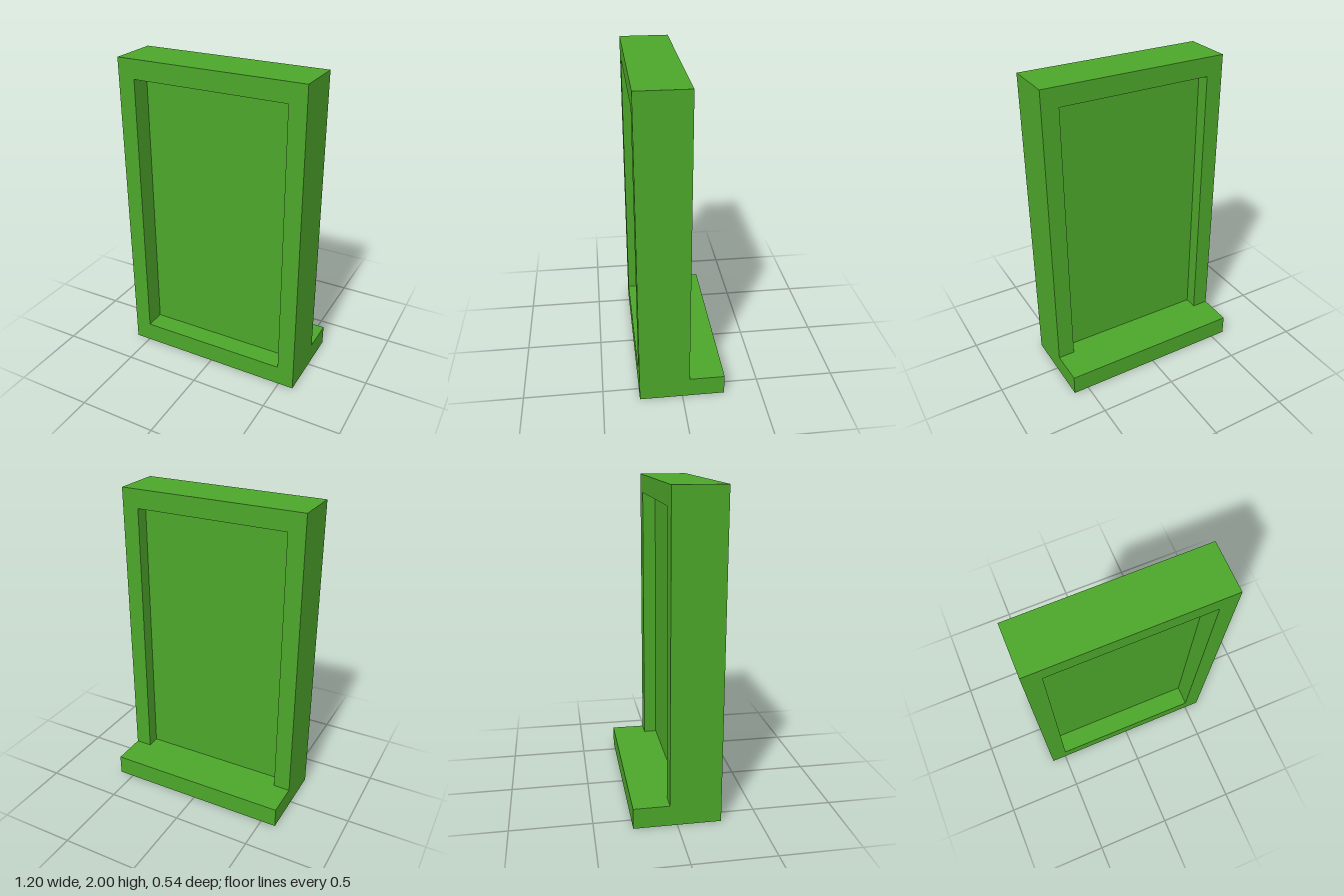
import * as THREE from 'three';

const WIDTH = 1.195, HEIGHT = 2;
const FRONT = 0.27, BACK = -0.045, SILL_BACK = -0.267;
const OPEN_X = 0.49, OPEN_BOTTOM = 0.13, OPEN_TOP = 1.88;

export function createModel() {
  const group = new THREE.Group();
  group.name = 'window';
  const material = new THREE.MeshStandardMaterial({ color: 0x4ca62a, flatShading: true });

  const add = (name, geometry) => {
    const mesh = new THREE.Mesh(geometry, material);
    mesh.name = name;
    group.add(mesh);
    return mesh;
  };
  const rect = (target, x, y0, y1) =>
    target.moveTo(-x, y0).lineTo(x, y0).lineTo(x, y1).lineTo(-x, y1).closePath();

  // Deep surround with a rectangular opening
  const outline = rect(new THREE.Shape(), WIDTH / 2, 0, HEIGHT);
  outline.holes.push(rect(new THREE.Path(), OPEN_X, OPEN_BOTTOM, OPEN_TOP));
  add('frame', new THREE.ExtrudeGeometry(outline, { depth: FRONT - BACK, bevelEnabled: false }))
    .position.z = BACK;

  // Pane recessed from both faces of the frame
  add('pane', new THREE.BoxGeometry(OPEN_X * 2, OPEN_TOP - OPEN_BOTTOM, 0.1))
    .position.set(0, (OPEN_TOP + OPEN_BOTTOM) / 2, 0.09);

  // Sill projecting behind, flush with the bottom of the opening
  add('sill', new THREE.BoxGeometry(WIDTH, OPEN_BOTTOM, BACK - SILL_BACK))
    .position.set(0, OPEN_BOTTOM / 2, (BACK + SILL_BACK) / 2);

  return group;
}
